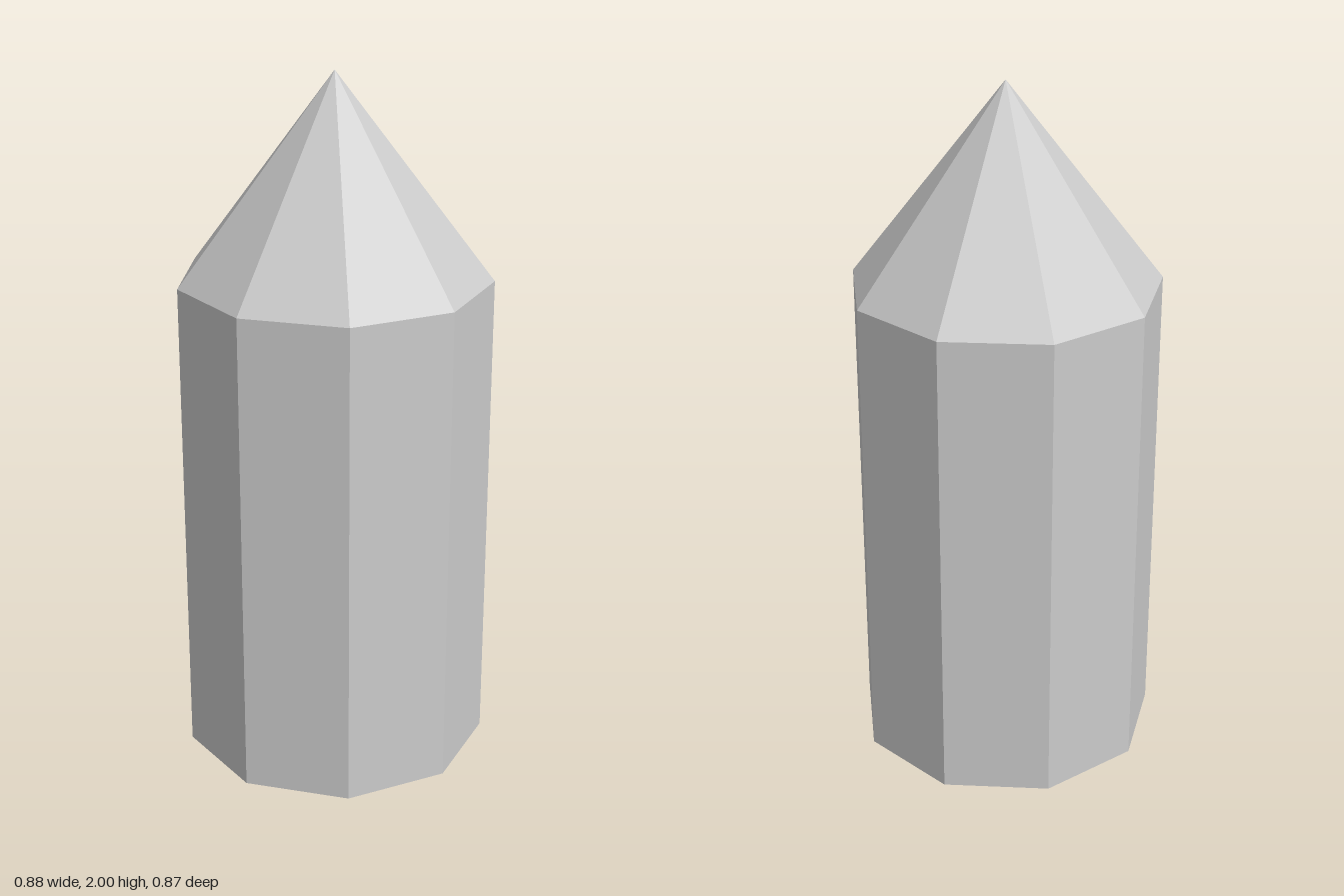
import * as THREE from 'three';

const SIDES = 9;
const RADIUS = 0.447;
const SHAFT_HEIGHT = 1.42;
const TOTAL_HEIGHT = 2;
const CENTRE_Z = 0.0135; // centres the nine-sided outline's depth on z = 0

export function createModel() {
  const model = new THREE.Group();
  model.name = 'pointedPost';
  const material = new THREE.MeshStandardMaterial({ color: 0xcccccc, flatShading: true });

  const add = (name, geometry, y) => {
    const mesh = new THREE.Mesh(geometry, material);
    mesh.name = name;
    mesh.position.set(0, y, CENTRE_Z);
    model.add(mesh);
  };

  // Nine-sided shaft, one corner pointing to the back
  add('shaft',
    new THREE.CylinderGeometry(RADIUS, RADIUS, SHAFT_HEIGHT, SIDES, 1, true, Math.PI),
    SHAFT_HEIGHT / 2);

  // Flat underside
  add('base',
    new THREE.CircleGeometry(RADIUS, SIDES, -Math.PI / 2).rotateX(Math.PI / 2),
    0);

  // Pointed top continuing the shaft's facets
  const tipHeight = TOTAL_HEIGHT - SHAFT_HEIGHT;
  add('tip',
    new THREE.ConeGeometry(RADIUS, tipHeight, SIDES, 1, true, Math.PI),
    SHAFT_HEIGHT + tipHeight / 2);

  return model;
}
